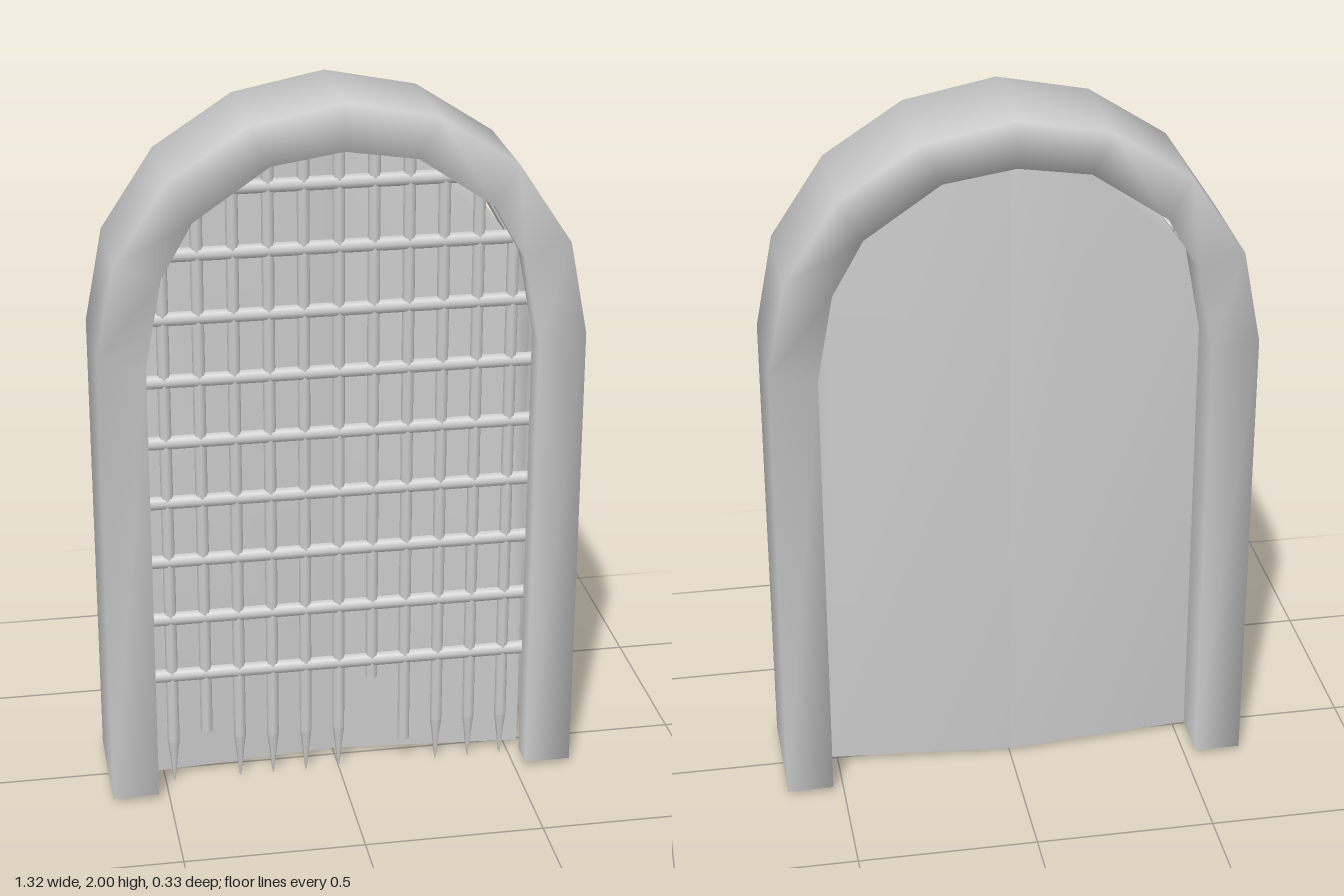
import * as THREE from 'three';
import { mergeVertices } from 'three/addons/utils/BufferGeometryUtils.js';

const material = new THREE.MeshStandardMaterial({ color: 0xcccccc });
const shellMaterial = new THREE.MeshStandardMaterial({ color: 0xcccccc, side: THREE.DoubleSide });

// Right halves of the arch curves, from the ground to the crown
const OUTER = [[0.66, 0.015], [0.66, 1.33], [0.61, 1.59], [0.465, 1.81], [0.25, 1.95], [0, 2]];
const INNER = [[0.53, 0.015], [0.53, 1.31], [0.485, 1.55], [0.4, 1.7], [0.195, 1.84], [0, 1.87]];
const DOOR = [[0.535, 0.015], [0.535, 1.31], [0.48, 1.555], [0.39, 1.685], [0.195, 1.815], [0, 1.85]];

// Open hollow section with two lips: [0 = outer wall .. 1 = inner wall, z]
const SECTION = [[1, -0.02], [1, -0.165], [0, -0.165], [0, 0.165], [1, 0.165], [1, 0.085]];

function add(parent, name, geometry, x = 0, y = 0, z = 0, mat = material) {
  const mesh = new THREE.Mesh(geometry, mat);
  mesh.name = name;
  mesh.position.set(x, y, z);
  parent.add(mesh);
}

const mirrorPath = (half) => [...half, ...half.slice(0, -1).reverse().map(([x, y]) => [-x, y])];

// Sweep the hollow section round the arch
function archGeometry() {
  const outer = mirrorPath(OUTER), inner = mirrorPath(INNER);
  const n = SECTION.length, positions = [], index = [];
  outer.forEach(([ox, oy], i) => {
    const [ix, iy] = inner[i];
    for (const [t, z] of SECTION) positions.push(ox + (ix - ox) * t, oy + (iy - oy) * t, z);
    if (i === outer.length - 1) return;
    for (let j = 0; j < n - 1; j++) {
      const a = i * n + j, b = a + 1;
      index.push(a, a + n, b, b, a + n, b + n);
    }
  });
  const g = new THREE.BufferGeometry();
  g.setAttribute('position', new THREE.Float32BufferAttribute(positions, 3));
  g.setIndex(index);
  g.computeVertexNormals();
  return g;
}

// Door leaf, swung slightly back at the seam, with softened normals
function leafGeometry(side) {
  const points = [...DOOR, [0, 0.015]].map(([x, y]) => new THREE.Vector2(side * x, y));
  let g = new THREE.ExtrudeGeometry(new THREE.Shape(points), { depth: 0.05, bevelEnabled: false });
  const p = g.attributes.position;
  for (let i = 0; i < p.count; i++) {
    p.setZ(i, p.getZ(i) - 0.015 - 0.045 * (1 - Math.abs(p.getX(i)) / 0.535));
  }
  g.deleteAttribute('normal');
  g.deleteAttribute('uv');
  g = mergeVertices(g);
  g.computeVertexNormals();
  return g;
}

export function createModel() {
  const model = new THREE.Group();
  model.name = 'portcullisGate';

  // Hollow arched frame and the pair of door leaves
  add(model, 'archFrame', archGeometry(), 0, 0, 0, shellMaterial);
  add(model, 'leftDoor', leafGeometry(1));
  add(model, 'rightDoor', leafGeometry(-1));

  // Iron grate
  const grate = new THREE.Group();
  grate.name = 'grate';
  model.add(grate);

  // Upright bars: spiked at the foot, except the broken ones
  const tops = [1.9, 1.89, 1.87, 1.81, 1.75, 1.62];
  const broken = { '-4': 0.155, '1': 0.285, '2': 0.075 };
  for (let k = -5; k <= 5; k++) {
    const x = k * 0.095, top = tops[Math.abs(k)];
    const foot = broken[k] ?? 0.13;
    add(grate, 'uprightBar', new THREE.CylinderGeometry(0.017, 0.017, top - foot, 8), x, (top + foot) / 2, 0.068);
    if (!(k in broken)) {
      add(grate, 'spike', new THREE.CylinderGeometry(0.017, 0.002, foot, 8), x, foot / 2, 0.068);
    }
  }

  // Cross bars, ending inside the hollow of the frame
  const halves = [0.55, 0.55, 0.55, 0.55, 0.55, 0.55, 0.54, 0.5, 0.39];
  halves.forEach((half, i) => {
    const bar = new THREE.CylinderGeometry(0.02, 0.02, 2 * half, 8).rotateZ(Math.PI / 2);
    add(grate, 'crossBar', bar, 0, 0.34 + i * 0.1775, 0.068);
  });
  return model;
}
